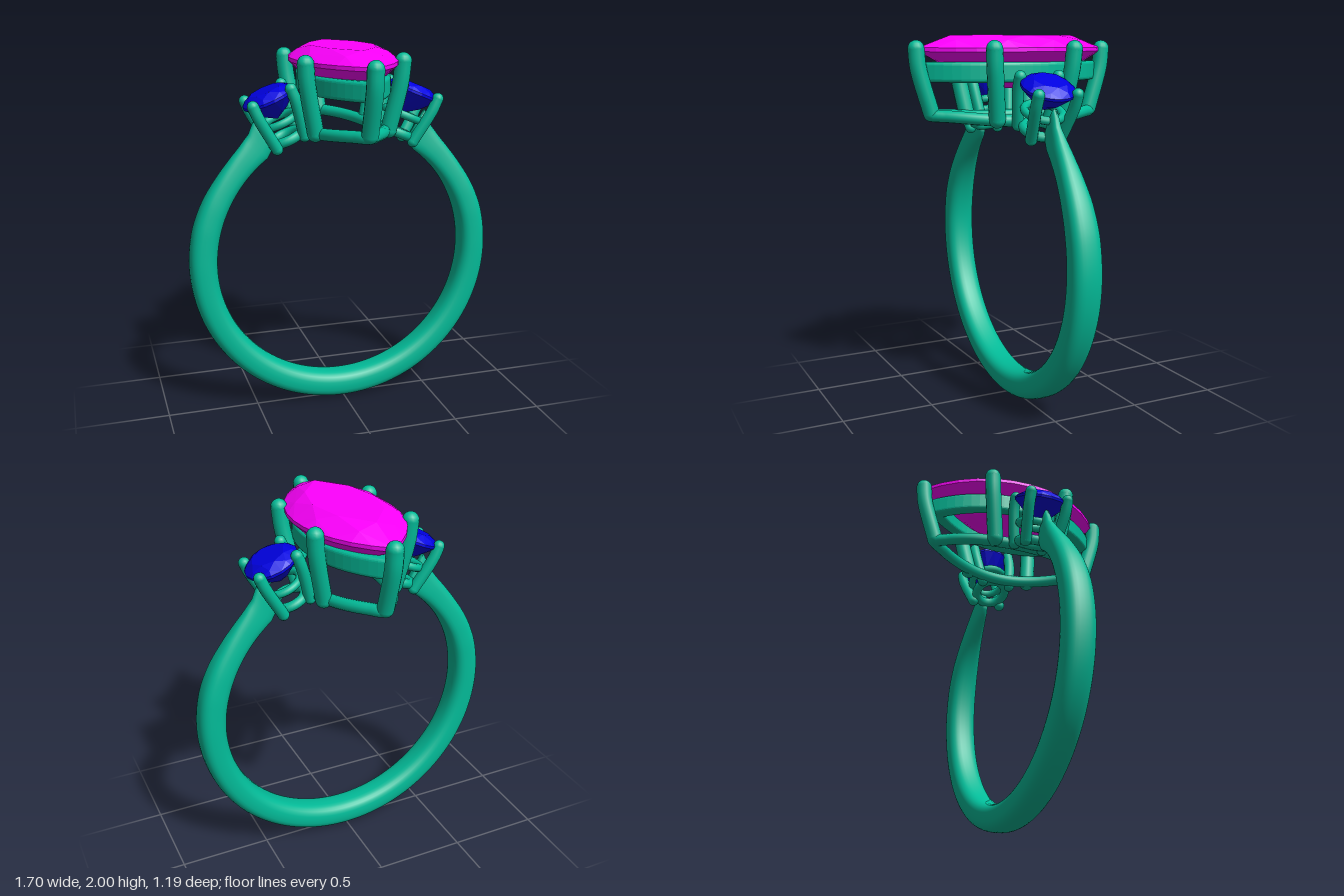
import * as THREE from 'three';
import { mergeGeometries } from 'three/addons/utils/BufferGeometryUtils.js';
import { ConvexGeometry } from 'three/addons/geometries/ConvexGeometry.js';

const metal = new THREE.MeshStandardMaterial({ color: 0x02bb98 });
const pink = new THREE.MeshStandardMaterial({ color: 0xff00ff, flatShading: true });
const blue = new THREE.MeshStandardMaterial({ color: 0x0000e0, flatShading: true });
const V = (x, y, z) => new THREE.Vector3(x, y, z);
const CENTRE_Y = 0.85, INNER_R = 0.7;

function part(parent, name, geometry, material = metal) {
  const mesh = new THREE.Mesh(geometry, material);
  mesh.name = name;
  parent.add(mesh);
  return mesh;
}

// Pointed oval outline made of two arcs, as [x, z] pairs; shift offsets by part of a step
function marquise(length, width, perSide, shift = 0) {
  const r = (length * length + width * width) / (2 * width);
  const half = Math.asin(length / r), out = [];
  for (const side of [1, -1]) {
    for (let i = 0; i < perSide; i++) {
      const a = (-half + (2 * half * (i + shift)) / perSide) * side;
      out.push([side * (r * Math.cos(a) - r + width), r * Math.sin(a)]);
    }
  }
  return out;
}

function circle(r, n, shift = 0) {
  return Array.from({ length: n }, (_, i) => {
    const a = ((i + shift) / n) * Math.PI * 2;
    return [r * Math.cos(a), r * Math.sin(a)];
  });
}

// Faceted stone: hull around outlines stacked at given heights
function gem(layers) {
  return new ConvexGeometry(layers.flatMap(([outline, y]) => outline.map(([x, z]) => V(x, y, z))));
}

// Bent wire with rounded ends
function prong(points, r) {
  const tube = new THREE.TubeGeometry(new THREE.CatmullRomCurve3(points), 14, r, 14);
  const ends = [points[0], points[points.length - 1]].map((p) =>
    new THREE.SphereGeometry(r, 14, 10).translate(p.x, p.y, p.z));
  return mergeGeometries([tube, ...ends]);
}

// Piecewise linear lookup
function lookup(table, t, column) {
  let i = 0;
  while (i < table.length - 2 && t > table[i + 1][0]) i++;
  const a = table[i], b = table[i + 1];
  return THREE.MathUtils.lerp(a[column], b[column], (t - a[0]) / (b[0] - a[0]));
}

// Band: rounded sections swept round the finger, narrowing towards the stones
function bandGeometry() {
  // degrees from the top, outer radius, half width, inner radius
  const table = [[31, 0.92, 0.022, 0.73], [36, 0.867, 0.03, INNER_R], [42, 0.845, 0.042, INNER_R],
    [49, 0.837, 0.052, INNER_R], [56, 0.836, 0.062, INNER_R], [65, 0.843, 0.073, INNER_R],
    [75, 0.849, 0.08, INNER_R], [90, 0.85, 0.083, INNER_R], [180, 0.85, 0.083, INNER_R]];
  const steps = 120, around = 28, pos = [], idx = [];
  for (let i = 0; i <= steps; i++) {
    const deg = 31 + (298 * i) / steps, t = Math.min(deg, 360 - deg);
    const a = THREE.MathUtils.degToRad(deg);
    const outer = lookup(table, t, 1), w = lookup(table, t, 2), inner = lookup(table, t, 3);
    const mid = (outer + inner) / 2, h = (outer - inner) / 2;
    for (let j = 0; j < around; j++) {
      const b = (j / around) * Math.PI * 2, c = Math.cos(b), s = Math.sin(b);
      const r = mid + h * Math.sign(c) * Math.abs(c) ** 0.75;
      pos.push(r * Math.sin(a), CENTRE_Y + r * Math.cos(a), w * Math.sign(s) * Math.abs(s) ** 0.75);
      if (i < steps) {
        const p = i * around + j, q = i * around + ((j + 1) % around);
        idx.push(p, q, p + around, q, q + around, p + around);
      }
    }
  }
  // end caps
  const last = steps * around;
  for (let j = 1; j < around - 1; j++) idx.push(0, j + 1, j, last, last + j, last + j + 1);
  const g = new THREE.BufferGeometry();
  g.setAttribute('position', new THREE.Float32BufferAttribute(pos, 3));
  g.setIndex(idx);
  g.computeVertexNormals();
  return g;
}

function centreSetting() {
  const g = new THREE.Group();
  g.name = 'centreSetting';
  part(g, 'centreStone', gem([
    [marquise(0.36, 0.17, 4), 2.0],
    [marquise(0.465, 0.225, 4, 0.5), 1.974],
    [marquise(0.54, 0.274, 12), 1.935],
    [marquise(0.54, 0.274, 12), 1.915],
    [marquise(0.32, 0.15, 6, 0.5), 1.79],
    [[[0, 0.06], [0, -0.06]], 1.72],
  ]), pink);

  // upper gallery rail
  const toPoints = (o) => o.map(([x, z]) => new THREE.Vector2(x, z));
  const shape = new THREE.Shape(toPoints(marquise(0.49, 0.216, 24)));
  shape.holes.push(new THREE.Path(toPoints(marquise(0.44, 0.186, 24))));
  const rail = new THREE.ExtrudeGeometry(shape, {
    depth: 0.068, bevelThickness: 0.018, bevelSize: 0.016, bevelSegments: 4 });
  rail.rotateX(Math.PI / 2).translate(0, 1.845, 0);
  part(g, 'upperRail', rail);

  // lower rail, bowed to follow the finger
  const path = marquise(0.47, 0.2, 12).map(([x, z]) =>
    V(x, CENTRE_Y + Math.sqrt(0.737 ** 2 - x * x), z));
  part(g, 'lowerRail', new THREE.TubeGeometry(new THREE.CatmullRomCurve3(path, true), 96, 0.032, 12, true));

  for (const s of [1, -1]) {
    part(g, 'endProng', prong([V(0, 1.93, s * 0.55), V(0, 1.83, s * 0.54), V(0, 1.6, s * 0.472)], 0.044));
    for (const m of [1, -1]) {
      part(g, 'sideProng', prong([V(m * 0.258, 1.93, s * 0.23), V(m * 0.248, 1.82, s * 0.222),
        V(m * 0.198, 1.57, s * 0.188)], 0.044));
    }
  }
  return g;
}

// Round stone in a four-prong basket, built upright about the girdle
function sideSetting(name) {
  const g = new THREE.Group();
  g.name = name;
  part(g, 'sideStone', gem([
    [circle(0.09, 8), 0.042],
    [circle(0.124, 8, 0.5), 0.024],
    [circle(0.145, 16), 0.004],
    [circle(0.145, 16), -0.01],
    [circle(0.075, 8, 0.5), -0.078],
    [[[0, 0]], -0.125],
  ]), blue);
  const ring = (label, r, y, tube) =>
    part(g, label, new THREE.TorusGeometry(r, tube, 10, 40).rotateX(Math.PI / 2).translate(0, y, 0));
  ring('sideUpperRail', 0.1, -0.135, 0.022);
  ring('sideLowerRail', 0.085, -0.235, 0.027);
  for (const x of [1, -1]) for (const z of [1, -1]) {
    part(g, 'smallProng', prong([V(x * 0.108, 0.012, z * 0.11), V(x * 0.106, -0.06, z * 0.109),
      V(x * 0.08, -0.25, z * 0.085)], 0.031));
  }
  g.rotation.z = -0.4;
  g.position.set(0.4, 1.74, 0);
  return g;
}

export function createModel() {
  const model = new THREE.Group();
  model.name = 'ring';
  part(model, 'band', bandGeometry());
  model.add(centreSetting());
  for (const [name, turn] of [['leftSetting', 0], ['rightSetting', Math.PI]]) {
    const half = new THREE.Group();
    half.name = name;
    half.rotation.y = turn;
    half.add(sideSetting('sideSetting'));
    model.add(half);
  }
  return model;
}
